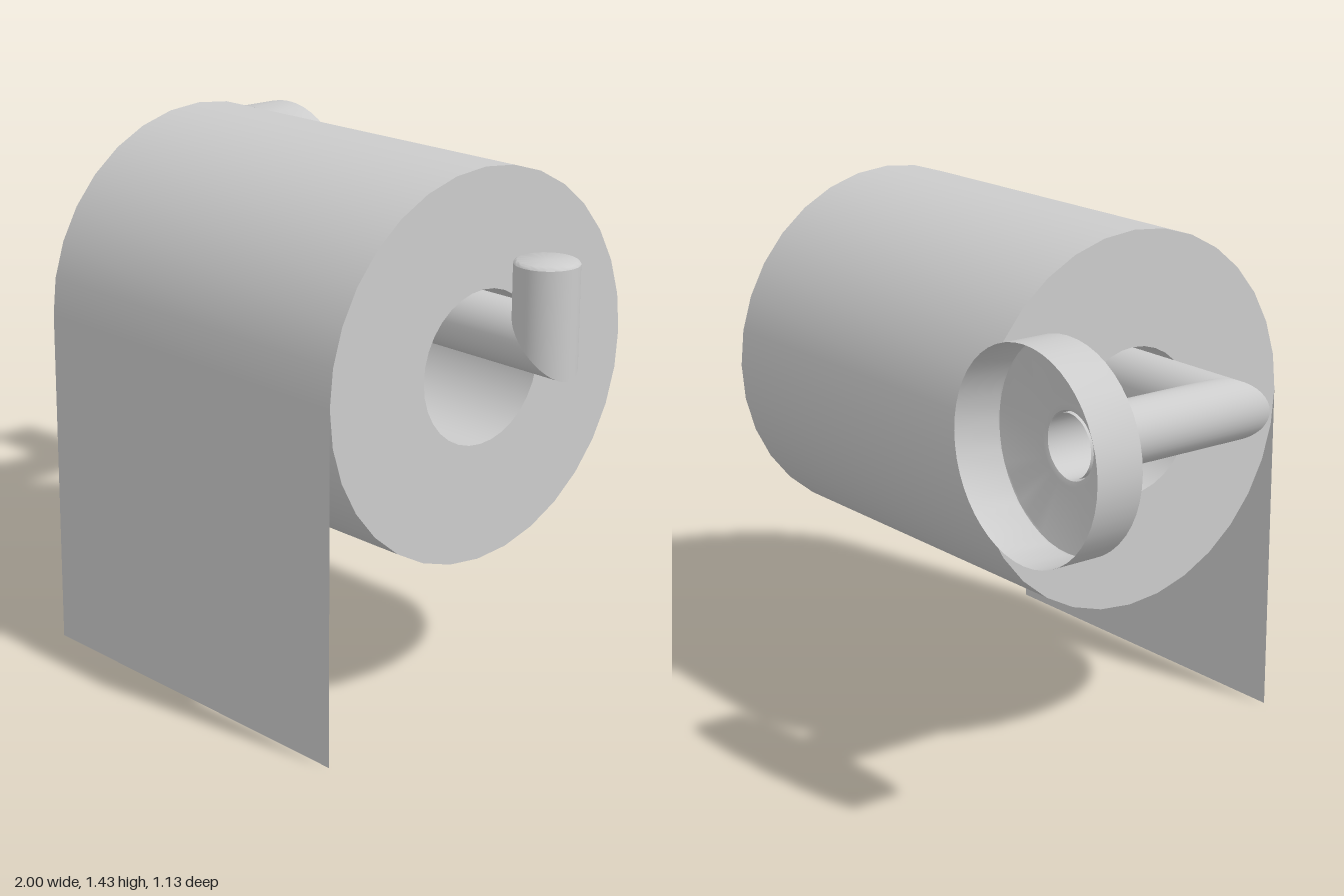
import * as THREE from 'three';
import { toCreasedNormals } from 'three/addons/utils/BufferGeometryUtils.js';

const mat = new THREE.MeshStandardMaterial({ color: 0xcccccc, side: THREE.DoubleSide });
const R = 0.081;                                          // bar radius
const bend = new THREE.Vector3(-0.73, 1.037, 0.06);       // bar meets wall arm
const tip = new THREE.Vector3(0.918, 1.037, 0.06);        // bar meets upturned end

function add(parent, name, geometry) {
  const mesh = new THREE.Mesh(geometry, mat);
  mesh.name = name;
  parent.add(mesh);
  return mesh;
}

// Open tube from a to b along one axis; a mitre axis slants that end at 45 degrees.
function mitredTube(a, b, axis, mitreA, mitreB) {
  const g = new THREE.CylinderGeometry(R, R, 1, 40, 1, true);
  if (axis === 'z') g.rotateX(Math.PI / 2);
  if (axis === 'x') g.rotateZ(-Math.PI / 2);
  const p = g.attributes.position;
  const v = new THREE.Vector3();
  for (let i = 0; i < p.count; i++) {
    v.fromBufferAttribute(p, i);
    const atB = v[axis] > 0;
    const mitre = atB ? mitreB : mitreA;
    v[axis] = mitre ? -v[mitre] : 0;
    v.add(atB ? b : a);
    p.setXYZ(i, v.x, v.y, v.z);
  }
  return g;
}

function lathe(points, segments) {
  const profile = points.map(([r, y]) => new THREE.Vector2(r, y));
  return toCreasedNormals(new THREE.LatheGeometry(profile, segments), 0.6);
}

export function createModel() {
  const model = new THREE.Group();
  model.name = 'toiletRollHolder';

  // Bent bar: wall arm, roll bar, upturned end
  const holder = new THREE.Group();
  holder.name = 'holder';
  model.add(holder);
  const wallEnd = new THREE.Vector3(bend.x, bend.y, -0.43);
  const top = new THREE.Vector3(tip.x, 1.232, tip.z);
  add(holder, 'wallArm', mitredTube(wallEnd, bend, 'z', null, 'x'));
  add(holder, 'rollBar', mitredTube(bend, tip, 'x', 'z', 'y'));
  add(holder, 'upturnedEnd', mitredTube(tip, top, 'y', 'x', null));
  add(holder, 'endCap', lathe([[R, 0], [R - 0.003, 0.005], [R - 0.008, 0.008], [0, 0.008]], 40))
    .position.copy(top);

  // Hollow wall cup, open at the back, with a small fillet around the arm
  const cup = lathe([
    [0.27, -0.567], [0.27, -0.436], [0.268, -0.432], [0.263, -0.43],
    [0.1, -0.43], [0.086, -0.426], [R, -0.412],
  ], 48);
  cup.rotateX(Math.PI / 2);
  add(holder, 'wallCup', cup).position.set(bend.x, bend.y, 0);

  // Paper roll with its core hole, and the hanging sheet
  const x0 = -0.385, x1 = 0.71, width = x1 - x0, outer = 0.507, inner = 0.2;
  const paper = new THREE.Group();
  paper.name = 'paperRoll';
  paper.position.set((x0 + x1) / 2, 0.925, 0.06);
  model.add(paper);
  for (const [name, r] of [['rollOuter', outer], ['rollCore', inner]]) {
    add(paper, name, new THREE.CylinderGeometry(r, r, width, 32, 1, true).rotateZ(Math.PI / 2));
  }
  for (const side of [-1, 1]) {
    add(paper, side > 0 ? 'rollEndLeft' : 'rollEndRight',
      new THREE.RingGeometry(inner, outer, 32).rotateY(side * Math.PI / 2))
      .position.x = side * width / 2;
  }
  add(paper, 'hangingSheet', new THREE.PlaneGeometry(width, 0.925))
    .position.set(0, -0.925 / 2, outer);

  return model;
}
